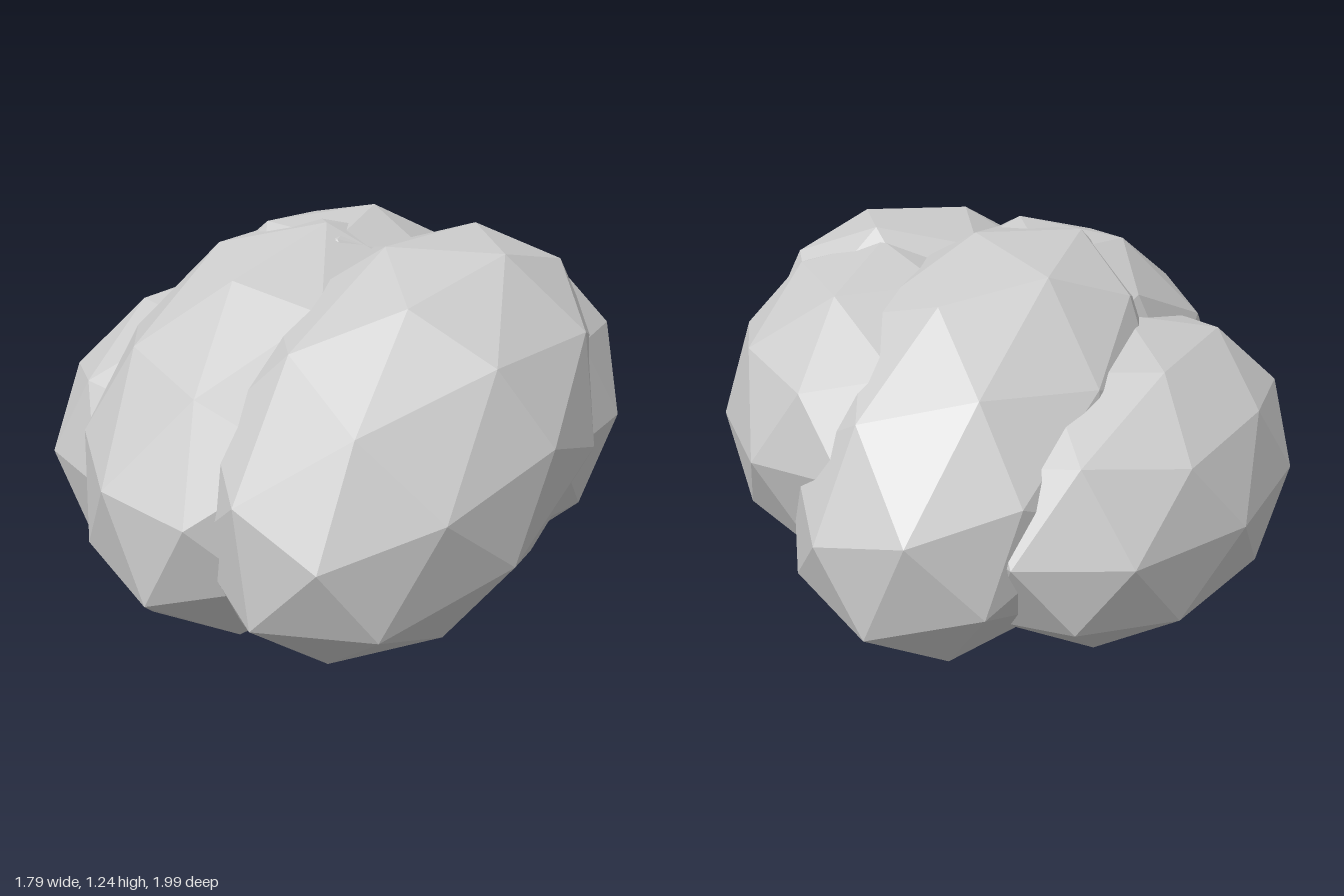
import * as THREE from 'three';

const deg = THREE.MathUtils.degToRad;

export function createModel() {
  const group = new THREE.Group();
  group.name = 'lobedCluster';
  const material = new THREE.MeshStandardMaterial({ color: 0xcccccc, flatShading: true });

  // Faceted ball with one of its five-sided corners pointing straight up
  const ball = new THREE.IcosahedronGeometry(1, 1);
  ball.rotateZ(Math.atan(2 / (1 + Math.sqrt(5))));
  ball.rotateY(Math.PI);

  // Each lobe is the ball stretched along z, then pitched, turned and rolled
  const lobes = [
    { name: 'frontLeftLobe', at: [0.38, 0.665, 0.29], size: [0.52, 0.52, 0.79], turn: [27, 0, -15] },
    { name: 'frontMiddleLobe', at: [-0.06, 0.657, 0.29], size: [0.52, 0.52, 0.79], turn: [27, 0, 0] },
    { name: 'rightLobe', at: [-0.42, 0.5, -0.03], size: [0.505, 0.5, 0.785], turn: [0, 0, 0] },
    { name: 'backMiddleLobe', at: [-0.06, 0.667, -0.3], size: [0.52, 0.51, 0.79], turn: [-29, 0, 0] },
    { name: 'backLeftLobe', at: [0.355, 0.68, -0.17], size: [0.5, 0.5, 0.78], turn: [0, 23, 0] },
  ];

  for (const { name, at, size, turn } of lobes) {
    const lobe = new THREE.Mesh(ball, material);
    lobe.name = name;
    lobe.position.set(...at);
    lobe.scale.set(...size);
    lobe.rotation.set(...turn.map(deg), 'ZYX');
    group.add(lobe);
  }
  return group;
}
